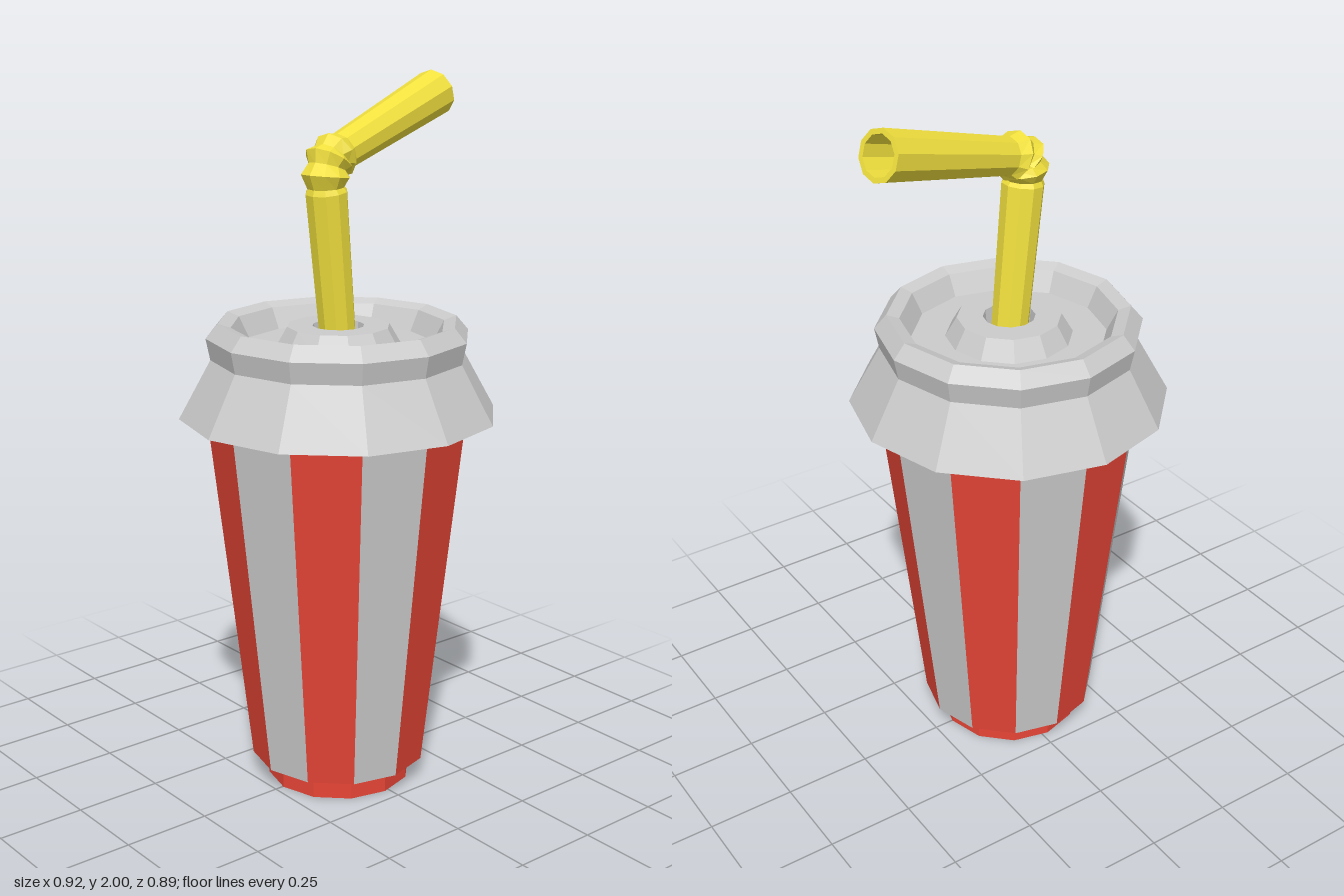
import * as THREE from 'three';

const SIDES = 12;
const CENTER_X = -0.016;
const TWIST = 0.011;

const paint = (color) => new THREE.MeshStandardMaterial({ color, flatShading: true });

// Faceted solid of revolution from [radius, height] pairs
function turned(name, profile, material, segments = SIDES, start = 0, length = Math.PI * 2) {
  const points = profile.map(([r, y]) => new THREE.Vector2(r, y));
  const mesh = new THREE.Mesh(new THREE.LatheGeometry(points, segments, start + TWIST, length), material);
  mesh.name = name;
  return mesh;
}

// Skin through circular sections [x, y, z, radius, bend], where bend 0..1 turns
// the section from the first direction to the second
function bentTube(name, sections, from, to, material, sides = 10) {
  const side = new THREE.Vector3().crossVectors(from, to).normalize();
  const positions = [];
  const index = [];
  sections.forEach(([x, y, z, r, bend], i) => {
    const dir = from.clone().lerp(to, bend).normalize();
    const up = new THREE.Vector3().crossVectors(dir, side);
    for (let k = 0; k < sides; k++) {
      const a = ((k + 0.5) / sides) * Math.PI * 2;
      const p = new THREE.Vector3(x, y, z)
        .addScaledVector(side, r * Math.cos(a))
        .addScaledVector(up, r * Math.sin(a));
      positions.push(p.x, p.y, p.z);
      if (i === sections.length - 1) continue;
      const a0 = i * sides + k;
      const a1 = i * sides + ((k + 1) % sides);
      index.push(a0, a1, a0 + sides, a1, a1 + sides, a0 + sides);
    }
  });
  const geometry = new THREE.BufferGeometry();
  geometry.setAttribute('position', new THREE.Float32BufferAttribute(positions, 3));
  geometry.setIndex(index);
  geometry.computeVertexNormals();
  const mesh = new THREE.Mesh(geometry, material);
  mesh.name = name;
  return mesh;
}

export function createModel() {
  const model = new THREE.Group();
  model.name = 'drinkCup';
  const grey = paint(0xcccccc);
  const red = paint(0xe74536);
  const yellow = paint(0xf1e03e);

  const cup = new THREE.Group();
  cup.name = 'cup';
  cup.position.x = CENTER_X;
  model.add(cup);

  // Foot with a recessed underside
  cup.add(turned('foot', [
    [0, 0.035], [0.145, 0.035], [0.15, 0], [0.208, 0], [0.208, 0.062], [0.253, 0.068],
  ], red));

  // Tapered wall, one stripe per facet
  const step = (Math.PI * 2) / SIDES;
  for (let i = 0; i < SIDES; i++) {
    cup.add(turned('wallStripe', [[0.253, 0.068], [0.371, 1.12]], i % 2 ? grey : red, 1, i * step, step));
  }

  // Lid: flared skirt, rim, sunken floor and raised collar round the straw hole
  cup.add(turned('lid', [
    [0.35, 1.087], [0.445, 1.087], [0.355, 1.25], [0.367, 1.31], [0.333, 1.35],
    [0.298, 1.338], [0.268, 1.28], [0.175, 1.28], [0.143, 1.335], [0.072, 1.335],
    [0.066, 1.275], [0, 1.275],
  ], grey));

  // Straw: lower tube, pleated bend, upper tube with an open end
  const lower = new THREE.Vector3(-0.055, 0.44, 0.015).normalize();
  const upper = new THREE.Vector3(0.425, 0.132, -0.1).normalize();
  model.add(bentTube('straw', [
    [-0.013, 1.27, -0.003, 0.051, 0],
    [-0.067, 1.705, 0.012, 0.058, 0],
    [-0.069, 1.718, 0.012, 0.051, 0.05],
    [-0.069, 1.748, 0.011, 0.068, 0.2],
    [-0.061, 1.770, 0.007, 0.052, 0.35],
    [-0.050, 1.787, 0.002, 0.068, 0.5],
    [-0.038, 1.794, -0.003, 0.052, 0.65],
    [-0.020, 1.798, -0.008, 0.067, 0.85],
    [0.005, 1.804, -0.015, 0.052, 1],
    [0.435, 1.936, -0.116, 0.067, 1],
    [0.435, 1.936, -0.116, 0.053, 1],
    [0.03, 1.812, -0.021, 0.042, 1],
    [0.03, 1.812, -0.021, 0.001, 1],
  ], lower, upper, yellow));

  return model;
}
